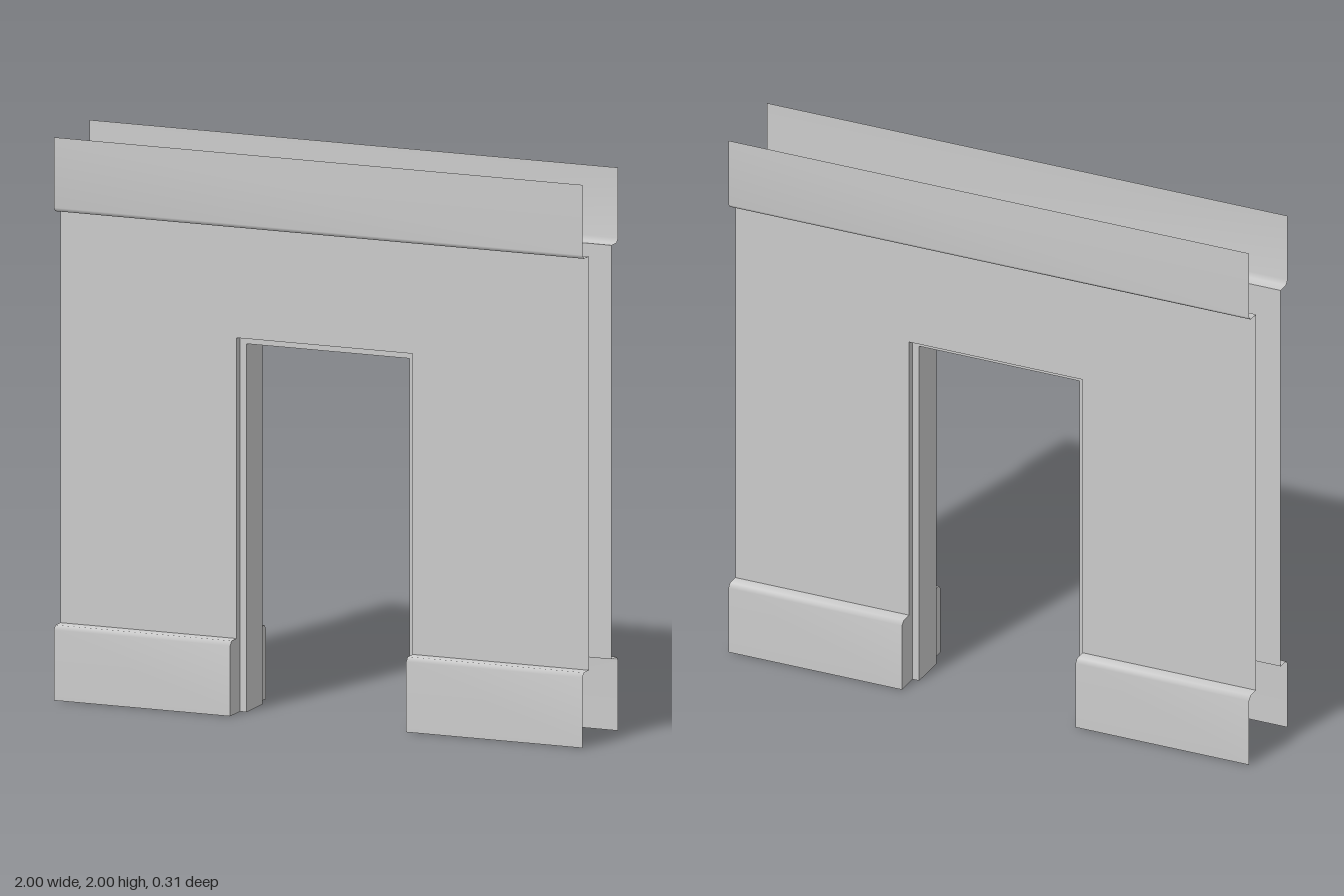
import * as THREE from 'three';

const HALF = 1, TOP = 2;             // overall size
const WALL_Z = 0.1, TRIM_Z = 0.157;  // wall face and trim face depth
const TRIM_H = 0.265;                // height of skirting and cornice
const DOOR_X = 0.333, DOOR_Y = 1.333;
const STOP = 0.025, STOP_Z = 0.07;   // raised strip inside the doorway

const material = new THREE.MeshStandardMaterial({ color: 0xcccccc, side: THREE.DoubleSide });

function part(name, geometry) {
  const mesh = new THREE.Mesh(geometry, material);
  mesh.name = name;
  return mesh;
}

// Skin a row of equal-length cross-sections with an open sheet
function loft(sections, smooth) {
  const n = sections[0].length, index = [];
  for (let i = 0; i < sections.length - 1; i++) {
    for (let j = 0; j < n - 1; j++) {
      const a = i * n + j, b = a + 1, c = a + n, d = c + 1;
      index.push(a, c, b, b, c, d);
    }
  }
  let geo = new THREE.BufferGeometry().setFromPoints(sections.flat());
  geo.setIndex(index);
  if (!smooth) geo = geo.toNonIndexed();
  geo.computeVertexNormals();
  return geo;
}

// Trim profiles as [z, y], bottom to top
const skirtingProfile = [[TRIM_Z, 0], [TRIM_Z, 0.25], [0.143, TRIM_H], [WALL_Z, TRIM_H]];
const corniceProfile = skirtingProfile.map(([z, y]) => [z, TOP - y]).reverse();

const trim = (profile, x0, x1) =>
  loft([x0, x1].map(x => profile.map(([z, y]) => new THREE.Vector3(x, y, z))), true);

function createFace(name) {
  const face = new THREE.Group();
  face.name = name;

  // Flat wall sheet with the doorway cut out
  const outline = [
    [-HALF, TRIM_H], [-DOOR_X, TRIM_H], [-DOOR_X, DOOR_Y], [DOOR_X, DOOR_Y],
    [DOOR_X, TRIM_H], [HALF, TRIM_H], [HALF, TOP - TRIM_H], [-HALF, TOP - TRIM_H],
  ].map(p => new THREE.Vector2(...p));
  const wall = new THREE.ShapeGeometry(new THREE.Shape(outline));
  wall.translate(0, 0, WALL_Z);
  face.add(part('wallPanel', wall));

  // Cornice along the top, skirting on both sides of the doorway
  face.add(part('cornice', trim(corniceProfile, -HALF, HALF)));
  face.add(part('skirtingRight', trim(skirtingProfile, -HALF, -DOOR_X)));
  face.add(part('skirtingLeft', trim(skirtingProfile, DOOR_X, HALF)));

  // Skirting ends that close the trim at the doorway
  const endShape = new THREE.Shape([...skirtingProfile, [WALL_Z, 0]].map(p => new THREE.Vector2(...p)));
  for (const side of [-1, 1]) {
    const end = new THREE.ShapeGeometry(endShape);
    end.rotateY(-Math.PI / 2);
    end.translate(side * DOOR_X, 0, 0);
    face.add(part(side > 0 ? 'skirtingEndLeft' : 'skirtingEndRight', end));
  }
  return face;
}

// Jambs and header with the raised stop, swept around the doorway
function createLining() {
  const profile = [
    [-WALL_Z, 0], [-STOP_Z, 0], [-STOP_Z, STOP], [STOP_Z, STOP], [STOP_Z, 0], [WALL_Z, 0],
  ];
  const path = [[-1, 0], [-1, 1], [1, 1], [1, 0]];
  const sections = path.map(([sx, sy]) => profile.map(([z, inset]) =>
    new THREE.Vector3(sx * (DOOR_X - inset), sy * (DOOR_Y - inset), z)));
  return part('doorwayLining', loft(sections, false));
}

export function createModel() {
  const model = new THREE.Group();
  model.name = 'doorwayWall';
  const back = createFace('backFace');
  back.rotation.y = Math.PI;
  model.add(createFace('frontFace'), back, createLining());
  return model;
}
